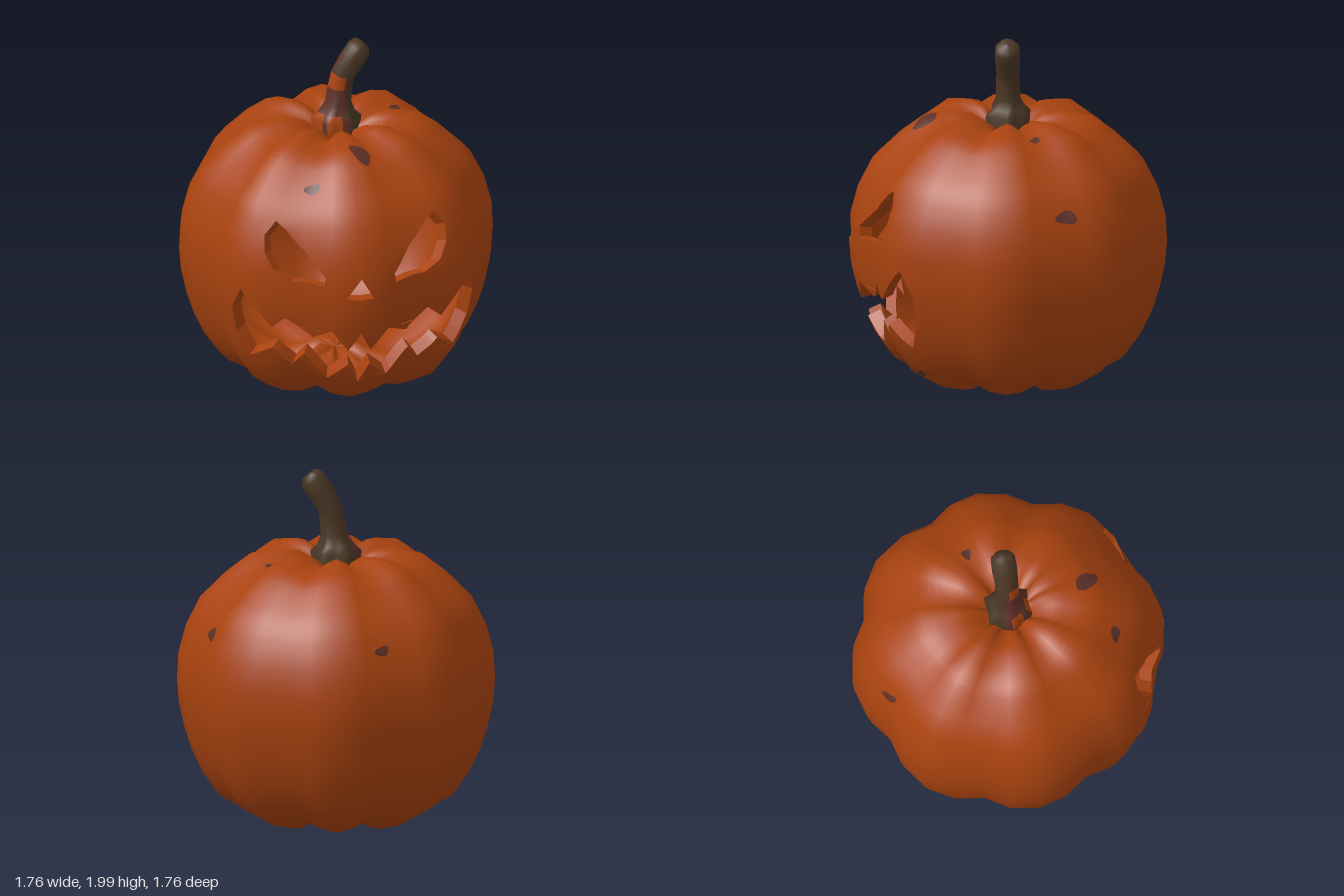
import * as THREE from 'three';

const mat = (name, color, side = THREE.FrontSide) => {
  const m = new THREE.MeshStandardMaterial({ color, side });
  m.name = name;
  return m;
};

// Rib-crest profile from bottom to top: [radius, height]
const PROFILE = [
  [0.001, 0.07], [0.12, 0.05], [0.22, 0.012], [0.34, 0], [0.5, 0.05], [0.65, 0.14], [0.74, 0.27],
  [0.8, 0.4], [0.84, 0.53], [0.87, 0.67], [0.88, 0.8], [0.872, 0.95], [0.83, 1.11], [0.75, 1.27],
  [0.61, 1.41], [0.48, 1.51], [0.31, 1.545], [0.2, 1.53], [0.1, 1.47], [0.001, 1.45],
];
const TOP = PROFILE.length - 1, SIDES = 32, CENTRE = new THREE.Vector3(0, 0.78, 0);

// Grid corner of the ribbed skin: u counts the columns, t the profile rows
function corner(u, t) {
  const [r, y] = PROFILE[t], a = (u / SIDES) * Math.PI * 2, c = Math.abs(Math.cos(4 * a));
  const dip = 0.07 * (1 - c) * (1 - (r / 0.88) ** 2) * Math.min(1, r / 0.1) * (y > 0.78 ? -1 : 1);
  const rr = r * (0.922 + 0.078 * c);
  return new THREE.Vector3(rr * Math.sin(a), y + dip, rr * Math.cos(a));
}

function skin(u, t) {
  t = Math.min(Math.max(t, 0), TOP);
  const i = Math.floor(u), j = Math.min(Math.floor(t), TOP - 1);
  const low = corner(i, j).lerp(corner(i + 1, j), u - i);
  return low.lerp(corner(i, j + 1).lerp(corner(i + 1, j + 1), u - i), t - j);
}

function skinNormal(u, t) {
  const du = skin(u + 0.5, t).sub(skin(u - 0.5, t));
  return du.cross(skin(u, t + 0.5).sub(skin(u, t - 0.5))).normalize();
}

const inward = (p) => p.sub(CENTRE).multiplyScalar(0.915).add(CENTRE);

// Turns a point of the front elevation into skin coordinates
function toSkin([x, y]) {
  let j = 3;
  while (PROFILE[j + 1][1] < y) j++;
  const t = j + (y - PROFILE[j][1]) / (PROFILE[j + 1][1] - PROFILE[j][1]);
  let a = -8, b = 8;
  for (let k = 0; k < 40; k++) {
    const m = (a + b) / 2;
    if (skin(m, t).x < x) a = m; else b = m;
  }
  return [a, t];
}

// Outlines of the carved openings
const EYE = [[-0.44, 1.21], [-0.505, 1.13], [-0.51, 1.035], [-0.46, 0.94], [-0.375, 0.885],
  [-0.2, 0.875], [-0.195, 0.93], [-0.285, 1.05], [-0.39, 1.17]];
const NOSE = [[0, 0.93], [-0.085, 0.805], [0.07, 0.805]];
const MOUTH = [[-0.635, 0.8], [-0.475, 0.59], [-0.405, 0.655], [-0.255, 0.535], [-0.16, 0.6],
  [-0.065, 0.47], [0, 0.59], [0.06, 0.47], [0.16, 0.6], [0.27, 0.54], [0.395, 0.665], [0.475, 0.59],
  [0.645, 0.81], [0.68, 0.66], [0.65, 0.5], [0.57, 0.34], [0.46, 0.44], [0.35, 0.325], [0.29, 0.405],
  [0.165, 0.245], [0.06, 0.37], [0, 0.24], [-0.06, 0.37], [-0.165, 0.245], [-0.29, 0.405],
  [-0.35, 0.325], [-0.46, 0.45], [-0.57, 0.36], [-0.64, 0.5], [-0.67, 0.66]];
const OPENINGS = [EYE, EYE.map(([x, y]) => [-x, y]), NOSE, MOUTH].map((o) => o.map(toSkin));

function geometryOf(pos, nor) {
  const g = new THREE.BufferGeometry();
  g.setAttribute('position', new THREE.Float32BufferAttribute(pos, 3));
  if (nor) g.setAttribute('normal', new THREE.Float32BufferAttribute(nor, 3));
  else g.computeVertexNormals();
  return g;
}

// Skin cut into thin horizontal bands, leaving out the openings
function shell(inner) {
  const pos = [], nor = [];
  const tri = (...pts) => {
    if (inner) pts.reverse();
    for (const [u, t] of pts) {
      const p = skin(u, t), n = skinNormal(u, t);
      if (inner) { inward(p); n.negate(); }
      pos.push(p.x, p.y, p.z);
      nor.push(n.x, n.y, n.z);
    }
  };
  const levels = OPENINGS.flat().map((p) => p[1]);
  for (let k = 0; k <= TOP * 4; k++) levels.push(k / 4);
  levels.sort((a, b) => a - b);
  for (let k = 0; k + 1 < levels.length; k++) {
    const t0 = levels[k], t1 = levels[k + 1], mid = (t0 + t1) / 2;
    if (t1 - t0 < 1e-6) continue;
    const cuts = [];
    for (const o of OPENINGS) o.forEach((p, i) => {
      const q = o[(i + 1) % o.length];
      if ((p[1] < mid) === (q[1] < mid)) return;
      const at = (t) => p[0] + ((q[0] - p[0]) * (t - p[1])) / (q[1] - p[1]);
      cuts.push([at(t0), at(t1)]);
    });
    cuts.sort((a, b) => a[0] + a[1] - b[0] - b[1]);
    const ends = [[-16, -16], ...cuts, [16, 16]];
    for (let s = 0; s < ends.length; s += 2) {
      const a = ends[s], b = ends[s + 1], cols = [a];
      for (let u = Math.floor(Math.max(...a)) + 1; u < Math.min(...b); u++) cols.push([u, u]);
      cols.push(b);
      for (let c = 0; c + 1 < cols.length; c++) {
        const [l0, l1] = cols[c], [r0, r1] = cols[c + 1];
        tri([l0, t0], [r0, t0], [r1, t1]);
        tri([l0, t0], [r1, t1], [l1, t1]);
      }
    }
  }
  return geometryOf(pos, nor);
}

// Cut faces joining the outer and inner skins round an opening
function cutWall(outline) {
  const pos = [], STEPS = 5;
  outline.forEach((p, i) => {
    const q = outline[(i + 1) % outline.length];
    const at = (k) => skin(p[0] + ((q[0] - p[0]) * k) / STEPS, p[1] + ((q[1] - p[1]) * k) / STEPS);
    for (let k = 0; k < STEPS; k++) {
      const a = at(k), b = at(k + 1), c = inward(b.clone()), d = inward(a.clone());
      for (const v of [a, b, c, a, c, d]) pos.push(v.x, v.y, v.z);
    }
  });
  return geometryOf(pos);
}

// Irregular blemish lying just above the skin
function blemish(u, t, du, dt, slant) {
  const pos = [], nor = [], N = 14, RINGS = 4;
  const put = (i, k) => {
    const a = (i / N) * Math.PI * 2, r = (k / RINGS) * (1 + 0.14 * Math.sin(3 * a + u) + 0.08 * Math.cos(2 * a));
    const v = r * Math.sin(a), uu = u + du * (r * Math.cos(a) + slant * v), tt = t + dt * v;
    const n = skinNormal(uu, tt), p = skin(uu, tt).addScaledVector(n, 0.006);
    pos.push(p.x, p.y, p.z);
    nor.push(n.x, n.y, n.z);
  };
  for (let k = 0; k < RINGS; k++) for (let i = 0; i < N; i++) {
    put(i, k); put(i, k + 1); put(i + 1, k + 1);
    if (k) { put(i, k); put(i + 1, k + 1); put(i + 1, k); }
  }
  return geometryOf(pos, nor);
}

// Stem rings: [x, y, radius, lean, lobe depth]
const STEM = [[0, 1.44, 0.12, 0, 0.1], [0, 1.53, 0.125, 0, 0.14], [0, 1.565, 0.095, 0, 0.1],
  [0.01, 1.62, 0.072, 0, 0.04], [0.022, 1.71, 0.067, 0.1, 0.04], [0.037, 1.785, 0.066, 0.35, 0.04],
  [0.088, 1.868, 0.072, 0.6, 0.04], [0.13, 1.935, 0.07, 0.65, 0.04], [0.145, 1.962, 0.05, 0.65, 0],
  [0.15, 1.97, 0.002, 0.65, 0]];

function stemGeometry() {
  const N = 18, pos = [], faces = [[], [], []];
  for (const [x, y, r, lean, lobe] of STEM) for (let i = 0; i < N; i++) {
    const a = (i / N) * Math.PI * 2, rr = r * (1 + lobe * Math.cos(6 * a));
    const c = rr * Math.cos(a);
    pos.push(x + c * Math.cos(lean), y - c * Math.sin(lean), rr * Math.sin(a));
  }
  for (let j = 0; j + 1 < STEM.length; j++) for (let i = 0; i < N; i++) {
    const off = Math.abs(((i + 0.5) / N) * 360 - 130); // angle from the stained side
    let m = 0;
    if (off < 75 && j < 5) m = 1;
    if ((off < 42 && j === 4) || (off < 80 && j < 2 && i % 3 > 0)) m = 2;
    if (j === 5 && off > 30 && off < 60 && i > 7) m = 1;
    const a = j * N + i, b = j * N + ((i + 1) % N);
    faces[m].push(a, a + N, b, b, a + N, b + N);
  }
  const g = new THREE.BufferGeometry();
  g.setAttribute('position', new THREE.Float32BufferAttribute(pos, 3));
  g.setIndex(faces.flat());
  let start = 0;
  faces.forEach((f, m) => { g.addGroup(start, f.length, m); start += f.length; });
  g.computeVertexNormals();
  return g;
}

export function createModel() {
  const group = new THREE.Group();
  group.name = 'carvedPumpkin';
  const orange = mat('pumpkinOrange', 0xa8420f, THREE.DoubleSide);
  const brown = mat('stemBrown', 0x4a3725);
  const red = mat('blemishRed', 0x5c2f27, THREE.DoubleSide);
  const add = (name, geometry, material) => {
    const m = new THREE.Mesh(geometry, material);
    m.name = name;
    group.add(m);
  };

  add('outerSkin', shell(false), orange);
  add('innerSkin', shell(true), orange);
  ['rightEyeCut', 'leftEyeCut', 'noseCut', 'mouthCut'].forEach((n, i) => add(n, cutWall(OPENINGS[i]), orange));
  add('stem', stemGeometry(), [brown, red, orange]);

  // Blemishes: column, row, half width, half height, slant
  const spots = [[0.65, 15.05, 0.5, 0.5, -0.5], [-1.94, 13.75, 0.33, 0.2, 0.3], [10.33, 12.2, 0.36, 0.24, 0],
    [10.1, 15.35, 0.35, 0.22, 0.3], [-14.3, 12.2, 0.27, 0.18, 0.3], [4.1, 5.25, 0.17, 0.14, 0]];
  spots.forEach((s, i) => add('blemish' + (i + 1), blemish(...s), red));
  return group;
}
